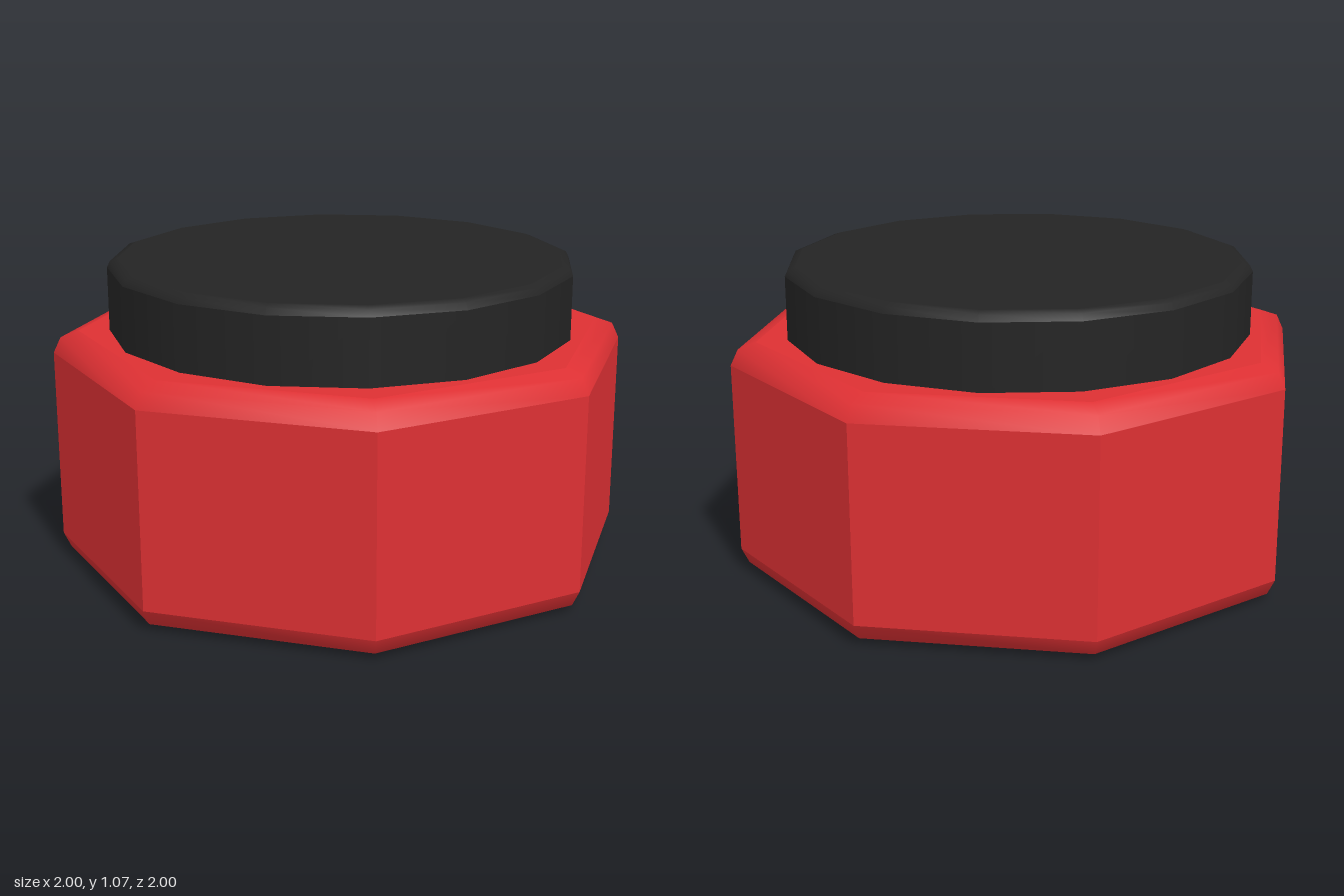
import * as THREE from 'three';

// Rounded-edge profile points, from the outer wall up to the flat top face
function bevelProfile(radius, top, inset, drop) {
  return [0, 0.5, 1].map((t) => {
    const a = t * Math.PI / 2;
    return new THREE.Vector2(radius - inset * (1 - Math.cos(a)), top - drop * (1 - Math.sin(a)));
  });
}

// Prism with bevelled rims; walls are faceted or smooth, end faces are flat
function bevelledPrism(name, { radius, bottom, top, sides, inset, drop, bottomBevel, facetedWall, color }) {
  const group = new THREE.Group();
  group.name = name;
  const smooth = new THREE.MeshStandardMaterial({ color });
  const wallMaterial = new THREE.MeshStandardMaterial({ color, flatShading: facetedWall });
  const add = (part, geometry, material = smooth) => {
    const mesh = new THREE.Mesh(geometry, material);
    mesh.name = part;
    group.add(mesh);
    return mesh;
  };

  // Wall
  const low = bottomBevel ? bottom + drop : bottom;
  const high = top - drop;
  const wall = add('wall', new THREE.CylinderGeometry(radius, radius, high - low, sides, 1, true), wallMaterial);
  wall.position.y = (low + high) / 2;

  // Top rim and face
  const rim = bevelProfile(radius, top, inset, drop);
  add('topRim', new THREE.LatheGeometry(rim, sides));
  const topFace = add('topFace', new THREE.CircleGeometry(radius - inset, sides));
  topFace.rotation.x = -Math.PI / 2;
  topFace.position.y = top;

  // Bottom rim mirrors the top one
  if (bottomBevel) {
    const mirrored = rim.map((p) => new THREE.Vector2(p.x, bottom + top - p.y)).reverse();
    add('bottomRim', new THREE.LatheGeometry(mirrored, sides));
  }
  const bottomFace = add('bottomFace', new THREE.CircleGeometry(bottomBevel ? radius - inset : radius, sides));
  bottomFace.rotation.x = Math.PI / 2;
  bottomFace.position.y = bottom;
  return group;
}

export function createModel() {
  const model = new THREE.Group();
  model.name = 'pushButton';

  // Octagonal housing
  model.add(bevelledPrism('housing', {
    radius: 1, bottom: 0, top: 0.82, sides: 8, inset: 0.088, drop: 0.076,
    bottomBevel: true, facetedWall: true, color: 0xdd3033,
  }));

  // Round button on top
  model.add(bevelledPrism('button', {
    radius: 0.805, bottom: 0.8, top: 1.07, sides: 16, inset: 0.035, drop: 0.03,
    bottomBevel: false, facetedWall: false, color: 0x242424,
  }));
  return model;
}
